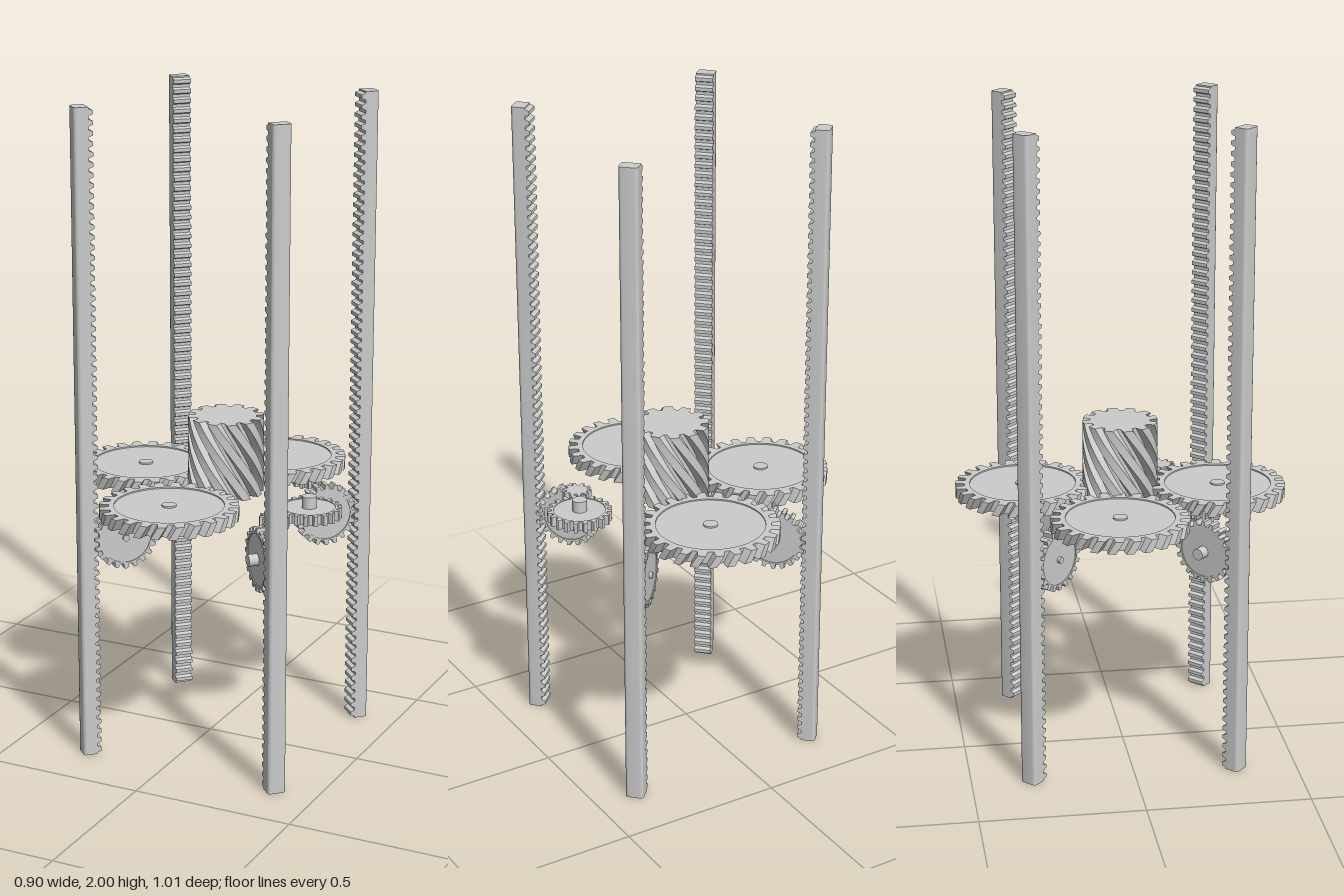
import * as THREE from 'three';
import { toCreasedNormals } from 'three/addons/utils/BufferGeometryUtils.js';

const material = new THREE.MeshStandardMaterial({ color: 0xcccccc });

function addMesh(parent, geometry, name, x = 0, y = 0, z = 0) {
  const mesh = new THREE.Mesh(geometry, material);
  mesh.name = name;
  mesh.position.set(x, y, z);
  parent.add(mesh);
  return mesh;
}

// Toothed outline; tip and foot are fractions of the tooth pitch
function toothedShape(teeth, outer, root, tip, foot) {
  const shape = new THREE.Shape();
  const pitch = (Math.PI * 2) / teeth;
  for (let i = 0; i < teeth; i++) {
    const corners = [[-foot / 2, root], [-tip / 2, outer], [0, outer], [tip / 2, outer], [foot / 2, root], [0.5, root]];
    corners.forEach(([f, r], k) => {
      const a = (i + f) * pitch;
      shape[i + k ? 'lineTo' : 'moveTo'](r * Math.cos(a), r * Math.sin(a));
    });
  }
  shape.closePath();
  return shape;
}

// Gear body along +z, from 0 to height, optionally with a bore and a helical twist
function gearGeometry({ teeth, outer, root, height, hole = 0, twist = 0, steps = 1, tip = 0.36, foot = 0.6 }) {
  const shape = toothedShape(teeth, outer, root, tip, foot);
  if (hole) shape.holes.push(new THREE.Path().absarc(0, 0, hole, 0, Math.PI * 2, true));
  const geometry = new THREE.ExtrudeGeometry(shape, { depth: height, steps, bevelEnabled: false, curveSegments: 24 });
  const p = geometry.attributes.position;
  for (let i = 0; i < p.count; i++) {
    const a = (twist * p.getZ(i)) / height;
    const x = p.getX(i), y = p.getY(i);
    p.setXY(i, x * Math.cos(a) - y * Math.sin(a), x * Math.sin(a) + y * Math.cos(a));
  }
  geometry.computeVertexNormals();
  return toCreasedNormals(geometry, 0.5);
}

const upright = (geometry) => geometry.rotateX(-Math.PI / 2);
const disc = (radius, height) => new THREE.CylinderGeometry(radius, radius, height, 48);

// Rack post: rounded outer edges, teeth towards the centre
function addRack(parent) {
  const width = 0.055, inner = 0.425, outer = 0.4675, r = 0.01, h = width / 2;
  const section = new THREE.Shape();
  section.moveTo(inner, -h);
  section.lineTo(outer - r, -h);
  section.quadraticCurveTo(outer, -h, outer, -h + r);
  section.lineTo(outer, h - r);
  section.quadraticCurveTo(outer, h, outer - r, h);
  section.lineTo(inner, h);
  section.closePath();
  const body = new THREE.ExtrudeGeometry(section, { depth: 2, bevelEnabled: false, curveSegments: 4 });
  addMesh(parent, toCreasedNormals(upright(body), 0.5), 'rackPost');

  const count = 66, pitch = 2 / count;
  const teeth = new THREE.Shape();
  teeth.moveTo(inner + 0.002, 0);
  teeth.lineTo(inner + 0.002, 2);
  for (let i = count - 1; i >= 0; i--) {
    for (const [x, f] of [[inner, 0.85], [inner - 0.013, 0.68], [inner - 0.013, 0.32], [inner, 0.15]]) {
      teeth.lineTo(x, (i + f) * pitch);
    }
  }
  teeth.closePath();
  const strip = new THREE.ExtrudeGeometry(teeth, { depth: width, bevelEnabled: false });
  addMesh(parent, strip, 'rackTeeth', 0, 0, -h);
}

// Upright gear that climbs the rack, with a hub on one side
function addClimbingGear(parent) {
  const gear = new THREE.Group();
  gear.name = 'climbingGear';
  gear.position.set(0.324, 0.69, 0);
  addMesh(gear, gearGeometry({ teeth: 20, outer: 0.098, root: 0.084, height: 0.037, hole: 0.078 }), 'climbingGearTeeth', 0, 0, -0.0185);
  addMesh(gear, disc(0.079, 0.031).rotateX(Math.PI / 2), 'climbingGearWeb');
  addMesh(gear, disc(0.018, 0.03).rotateX(Math.PI / 2), 'climbingGearHub', 0, 0, 0.03);
  addMesh(gear, disc(0.01, 0.05).rotateX(Math.PI / 2), 'climbingGearShaft');
  parent.add(gear);
}

// Horizontal drive: lower spur gear, its shaft, and a helical gear on top
function addDriveGear(parent, withHelicalGear) {
  const gear = new THREE.Group();
  gear.name = 'driveGear';
  gear.position.set(0.296, 0, 0.042);
  addMesh(gear, upright(gearGeometry({ teeth: 20, outer: 0.098, root: 0.084, height: 0.031, hole: 0.078 })), 'spurGearTeeth', 0, 0.775, 0);
  addMesh(gear, disc(0.079, 0.015), 'spurGearWeb', 0, 0.796, 0);
  addMesh(gear, disc(0.022, 0.065), 'driveShaft', 0, 0.8065, 0);
  if (withHelicalGear) {
    const teeth = gearGeometry({ teeth: 24, outer: 0.207, root: 0.179, height: 0.038, hole: 0.163, twist: 0.11, steps: 4, tip: 0.44, foot: 0.66 });
    addMesh(gear, upright(teeth), 'helicalGearTeeth', 0, 0.8, 0);
    addMesh(gear, disc(0.164, 0.016), 'helicalGearWeb', 0, 0.826, 0);
  }
  parent.add(gear);
}

export function createModel() {
  const model = new THREE.Group();
  model.name = 'gearLift';
  const machine = new THREE.Group();
  machine.name = 'gearTrain';
  machine.position.x = 0.053;
  model.add(machine);

  // Central helical drum
  const drum = gearGeometry({ teeth: 12, outer: 0.115, root: 0.092, height: 0.24, twist: -1.5, steps: 24, tip: 0.5, foot: 0.75 });
  addMesh(machine, upright(drum), 'helicalDrum', 0, 0.8, 0);

  // Four identical corners; the first one has no helical gear
  for (let i = 0; i < 4; i++) {
    const quarter = new THREE.Group();
    quarter.name = 'liftCorner';
    quarter.rotation.y = (i * Math.PI) / 2;
    machine.add(quarter);
    addDriveGear(quarter, i > 0);
    const idler = gearGeometry({ teeth: 10, outer: 0.045, root: 0.032, height: 0.035 });
    addMesh(quarter, upright(idler), 'idlerGear', 0.238, 0.771, 0.164);

    const arm = new THREE.Group();
    arm.name = 'rackAndGear';
    arm.rotation.y = -Math.PI / 4;
    quarter.add(arm);
    addClimbingGear(arm);
    addRack(arm);
  }
  return model;
}
